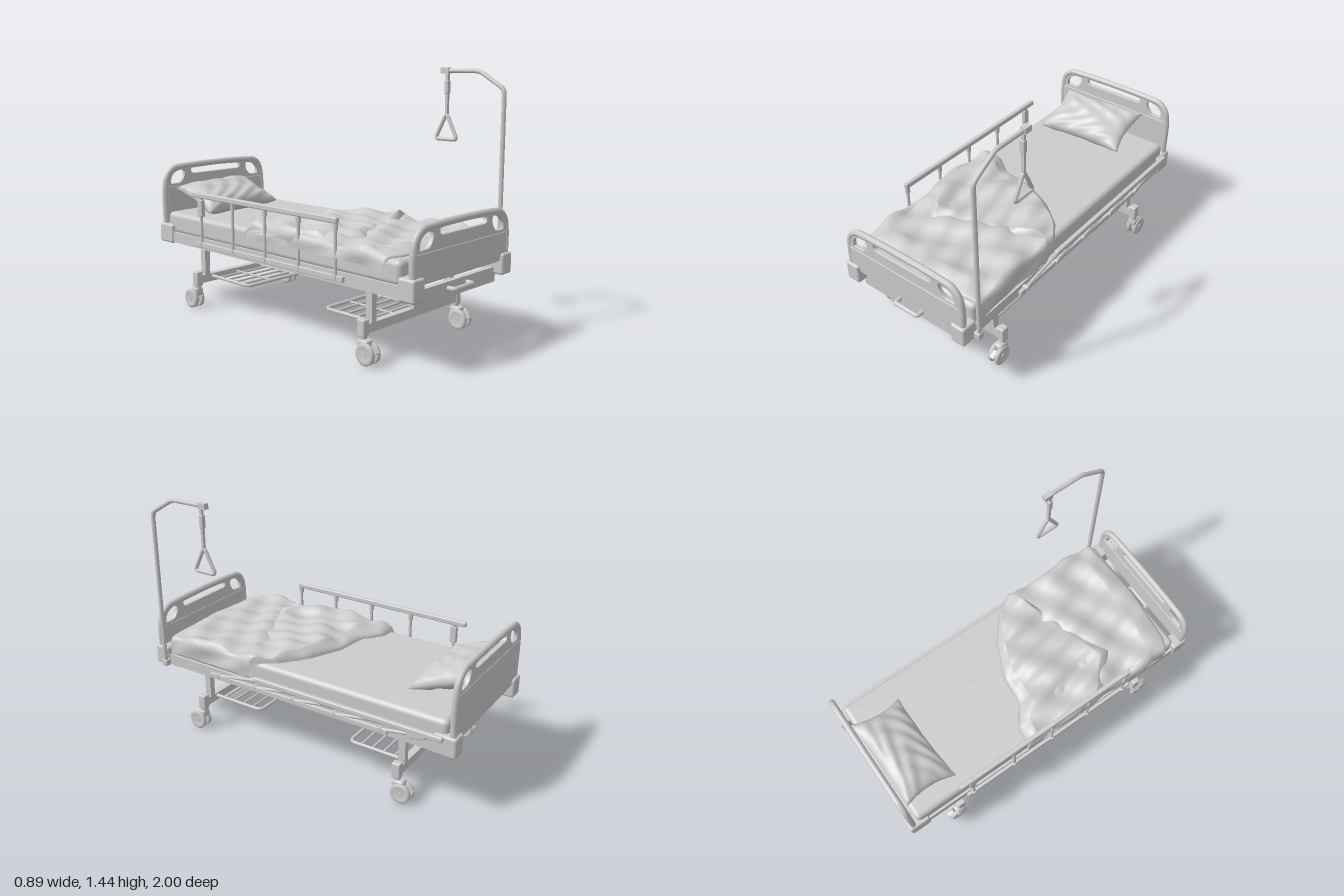
import * as THREE from 'three';
import { RoundedBoxGeometry } from 'three/addons/geometries/RoundedBoxGeometry.js';
import { ParametricGeometry } from 'three/addons/geometries/ParametricGeometry.js';

const grey = new THREE.MeshStandardMaterial({ color: 0xcccccc });
const cloth = new THREE.MeshStandardMaterial({ color: 0xcccccc, side: THREE.DoubleSide });
const V = (x, y, z) => new THREE.Vector3(x, y, z);

function add(parent, name, geo, x = 0, y = 0, z = 0, mat = grey) {
  const m = new THREE.Mesh(geo, mat);
  m.name = name;
  m.position.set(x, y, z);
  parent.add(m);
  return m;
}
const group = (parent, name) => {
  const g = new THREE.Group();
  g.name = name;
  parent.add(g);
  return g;
};
// box given by its limits
function box(parent, name, x0, x1, y0, y1, z0, z1, r = 0) {
  const s = [x1 - x0, y1 - y0, z1 - z0];
  const geo = r ? new RoundedBoxGeometry(...s, 3, r) : new THREE.BoxGeometry(...s);
  return add(parent, name, geo, (x0 + x1) / 2, (y0 + y1) / 2, (z0 + z1) / 2);
}
// straight round bar between two points
function bar(parent, name, a, b, r) {
  const m = add(parent, name, new THREE.CylinderGeometry(r, r, a.distanceTo(b), 12));
  m.position.copy(a).lerp(b, 0.5);
  m.quaternion.setFromUnitVectors(V(0, 1, 0), b.clone().sub(a).normalize());
  return m;
}
// bent tube with softened corners
function bentTube(parent, name, pts, r, corner, closed = false) {
  const path = new THREE.CurvePath(), n = pts.length;
  const toward = (a, b) => a.clone().add(b.clone().sub(a).setLength(corner));
  let prev = closed ? toward(pts[0], pts[1]) : pts[0];
  const end = closed ? n + 1 : n - 1;
  for (let i = 1; i < end; i++) {
    const p = pts[i % n], q = toward(p, pts[i - 1]), s = toward(p, pts[(i + 1) % n]);
    path.add(new THREE.LineCurve3(prev, q));
    path.add(new THREE.QuadraticBezierCurve3(q, p, s));
    prev = s;
  }
  if (!closed) path.add(new THREE.LineCurve3(prev, pts[n - 1]));
  return add(parent, name, new THREE.TubeGeometry(path, 100, r, 10, closed));
}
// piecewise linear lookup
function lookup(table, x) {
  if (x <= table[0][0]) return table[0][1];
  for (let i = 1; i < table.length; i++) {
    const [a, p] = table[i - 1], [b, q] = table[i];
    if (x <= b) return p + (q - p) * (x - a) / (b - a);
  }
  return table[table.length - 1][1];
}

// head or foot board: pierced panel, rounded rim tube, corner blocks
function endBoard(parent, name, z, top, depth) {
  const g = group(parent, name), t = top - 0.74;
  const s = new THREE.Shape();
  s.moveTo(-0.36, 0.45).lineTo(0.36, 0.45).lineTo(0.395, 0.49).lineTo(0.395, 0.6 + t);
  s.bezierCurveTo(0.385, 0.68 + t, 0.35, 0.71 + t, 0.28, 0.717 + t);
  s.quadraticCurveTo(0, 0.732 + t, -0.28, 0.717 + t);
  s.bezierCurveTo(-0.35, 0.71 + t, -0.385, 0.68 + t, -0.395, 0.6 + t);
  s.lineTo(-0.395, 0.49);
  const slot = new THREE.Path();
  slot.moveTo(-0.18, 0.663 + t).lineTo(0.18, 0.663 + t);
  slot.quadraticCurveTo(0.21, 0.67 + t, 0.2, 0.705 + t).quadraticCurveTo(0, 0.715 + t, -0.2, 0.705 + t);
  slot.quadraticCurveTo(-0.21, 0.67 + t, -0.18, 0.663 + t);
  s.holes.push(slot);
  for (const k of [-1, 1]) {
    const h = new THREE.Path();
    h.moveTo(k * 0.355, 0.61 + t).lineTo(k * 0.29, 0.612 + t);
    h.bezierCurveTo(k * 0.25, 0.63 + t, k * 0.23, 0.69 + t, k * 0.26, 0.702 + t);
    h.bezierCurveTo(k * 0.33, 0.705 + t, k * 0.37, 0.66 + t, k * 0.355, 0.61 + t);
    s.holes.push(h);
  }
  const geo = new THREE.ExtrudeGeometry(s, { depth: 0.014, bevelSize: 0.005, bevelThickness: 0.005, bevelSegments: 2, curveSegments: 16 });
  add(g, 'pierced panel', geo, 0, 0, z - 0.007);
  box(g, 'raised lower panel', -0.385, 0.385, 0.47, 0.6 + t, z - 0.015, z + 0.015, 0.006);
  const rim = new THREE.CatmullRomCurve3([
    [-0.392, 0.47], [-0.392, 0.6 + t], [-0.375, 0.67 + t], [-0.33, 0.71 + t], [-0.25, 0.719 + t], [0, 0.724 + t],
    [0.25, 0.719 + t], [0.33, 0.71 + t], [0.375, 0.67 + t], [0.392, 0.6 + t], [0.392, 0.47]
  ].map(p => V(p[0], p[1], z)), false, 'centripetal');
  add(g, 'rim tube', new THREE.TubeGeometry(rim, 90, 0.018, 10));
  const d = Math.sign(z);
  for (const k of [-1, 1]) {
    const zs = [d * (1 - depth), d].sort((a, b) => a - b), xs = [k * 0.33, k * 0.42].sort((a, b) => a - b);
    box(g, 'corner block', ...xs, 0.37, 0.487, ...zs, 0.014);
  }
}

// side guard: five posts swing on a lower bar, carrying the top bar
function sideRail(parent, name, x, angle) {
  const g = group(parent, name), L = 0.285;
  const dz = -Math.sin(angle) * L, y0 = 0.415, y1 = y0 + Math.cos(angle) * L;
  box(g, 'lower bar', x - 0.01, x + 0.01, 0.395, 0.425, -0.62, 0.56, 0.004);
  box(g, 'top bar', x - 0.014, x + 0.014, y1 - 0.012, y1 + 0.02, -0.65 + dz, 0.52 + dz, 0.008);
  [0.505, 0.24, -0.02, -0.29, -0.575].forEach((z) => {
    bar(g, 'post', V(x, y0, z), V(x, y1, z + dz), 0.009);
    const joint = bar(g, 'post joint', V(x, y1, z + dz), V(x, y1 - Math.cos(angle) * 0.045, z + dz * 0.84), 0.015);
    joint.scale.x = 0.9;
    const pivot = add(g, 'pivot', new THREE.CylinderGeometry(0.014, 0.014, 0.03, 14), x, y0, z);
    pivot.rotation.z = Math.PI / 2;
  });
  const latch = box(g, 'latch', x - 0.014, x + 0.014, -0.05, 0.05, -0.02, 0.02, 0.006);
  latch.position.set(x, y0 + (y1 - y0) * 0.75, -0.575 + dz * 0.75);
  latch.rotation.x = -angle;
}

// leg frame at one end with castors and wire shelf
function legFrame(parent, d) {
  const g = group(parent, d > 0 ? 'foot leg frame' : 'head leg frame'), z = d * 0.665;
  box(g, 'cross beam', -0.375, 0.375, 0.153, 0.2, z - 0.02, z + 0.02);
  box(g, 'upper beam', -0.345, 0.345, 0.36, 0.41, z - 0.02, z + 0.02);
  for (const k of [-1, 1]) {
    const x = k * 0.39;
    add(g, 'column', new THREE.BoxGeometry(0.036, 0.2, 0.04), k * 0.328, 0.29, z);
    add(g, 'castor socket', new RoundedBoxGeometry(0.044, 0.09, 0.05, 2, 0.008), x, 0.182, z);
    add(g, 'castor stem', new THREE.CylinderGeometry(0.02, 0.024, 0.03, 16), x, 0.128, z);
    add(g, 'castor hood', new RoundedBoxGeometry(0.055, 0.05, 0.07, 3, 0.014), x, 0.103, z + d * 0.015);
    add(g, 'castor fork', new THREE.BoxGeometry(0.018, 0.07, 0.035), x, 0.075, z + d * 0.02);
    const pedal = add(g, 'brake pedal', new RoundedBoxGeometry(0.03, 0.008, 0.05, 2, 0.003), x, 0.085, z + d * 0.08);
    pedal.rotation.x = d * 0.6;
    for (const e of [-1, 1]) {
      const prof = [[0, -0.013], [0.05, -0.013], [0.058, -0.007], [0.058, 0.007], [0.05, 0.013], [0.036, 0.013], [0.033, 0.009], [0, 0.009]];
      const wheel = add(g, 'wheel', new THREE.LatheGeometry(prof.map(p => new THREE.Vector2(...p)), 28), x + e * 0.022, 0.058, z + d * 0.035);
      wheel.rotation.z = -e * Math.PI / 2;
      const hub = add(g, 'hub', new THREE.CylinderGeometry(0.014, 0.014, 0.07, 14), x, 0.058, z + d * 0.035);
      hub.rotation.z = Math.PI / 2;
    }
  }
  const shelf = group(g, 'wire shelf'), a = d * 0.31, b = d * 0.66;
  bentTube(shelf, 'shelf loop', [V(-0.29, 0.183, b), V(-0.29, 0.183, a), V(0.29, 0.183, a), V(0.29, 0.183, b)], 0.01, 0.04);
  for (let i = 1; i < 5; i++) bar(shelf, 'shelf wire', V(-0.29, 0.18, a + (b - a) * i / 5), V(0.29, 0.18, a + (b - a) * i / 5), 0.007);
  for (const x of [-0.1, 0.1]) bar(shelf, 'shelf stay', V(x, 0.18, a), V(x, 0.18, b), 0.006);
}

// cloth sheet across the bed; hangs over the sides where s passes the mattress edge
function sheet(parent, name, s0, s1, zStart, zEnd, lift, wrinkle) {
  const geo = new ParametricGeometry((u, v, p) => {
    const s = s0 + (s1 - s0) * u, za = lookup(zStart, s), zb = lookup(zEnd, s);
    const z = za + (zb - za) * v, k = Math.sign(s), over = Math.max(0, Math.abs(s) - 0.385);
    const edge = Math.min(1, Math.min(v, 1 - v) * 8);
    const w = wrinkle(s, z) * edge, turn = Math.min(1, over / 0.05);
    p.set(k * (Math.min(Math.abs(s), 0.385) + 0.035 * Math.sin(turn * 1.57) + turn * w * 0.5),
      0.562 + lift * Math.sqrt(edge) - over * turn * 0.95 + w * (1 - turn * 0.7), z);
  }, 70, 70);
  add(parent, name, geo, 0, 0, 0, cloth);
}

export function createModel() {
  const bed = new THREE.Group();
  bed.name = 'adjustable care bed';
  endBoard(bed, 'footboard', 0.97, 0.74, 0.1);
  endBoard(bed, 'headboard', -0.97, 0.85, 0.13);

  // bed frame
  const frame = group(bed, 'frame');
  for (const k of [-1, 1]) add(frame, 'side beam', new THREE.BoxGeometry(0.03, 0.065, 1.84), k * 0.395, 0.41, 0);
  for (let i = 0; i < 11; i++) add(frame, 'slat', new THREE.BoxGeometry(0.77, 0.018, 0.055), 0, 0.418, -0.83 + i * 0.165);
  box(frame, 'foot panel', -0.345, 0.345, 0.328, 0.408, 0.915, 0.945);
  bentTube(frame, 'crank handle', [V(-0.075, 0.375, 0.94), V(-0.075, 0.375, 0.985), V(0.085, 0.375, 0.985), V(0.085, 0.375, 0.94)], 0.013, 0.015);
  legFrame(bed, 1);
  legFrame(bed, -1);
  sideRail(bed, 'raised side rail', -0.42, 0);
  sideRail(bed, 'lowered side rail', 0.425, 1.4);

  // bedding
  box(bed, 'mattress', -0.4, 0.4, 0.432, 0.56, -0.94, 0.9, 0.03);
  const soft = (s, z) => 0.012 * Math.sin(17 * z - 9 * s + 2 * Math.sin(7 * s)) + 0.008 * Math.sin(30 * z + 14 * s) + 0.006 * Math.sin(38 * s - 12 * z);
  const top = [[-0.42, -0.19], [-0.3, -0.18], [-0.18, -0.09], [0, -0.07], [0.2, 0.02], [0.34, 0.13], [0.42, 0.25], [0.5, 0.32]];
  sheet(bed, 'blanket', -0.47, 0.51, top, [[-0.47, 0.8], [-0.34, 0.86], [0, 0.895], [0.5, 0.87]], 0.028, soft);
  sheet(bed, 'folded blanket flap', -0.46, 0.44, top.map(([s, z]) => [s, z + 0.005]),
    [[-0.46, 0.2], [-0.38, 0.4], [-0.22, 0.55], [0, 0.46], [0.3, 0.34], [0.44, 0.28]], 0.055, (s, z) => soft(s * 1.3, z * 0.8) * 1.1);

  // pillow leaning on the headboard
  const pillow = group(bed, 'pillow');
  for (const side of [1, -1]) {
    add(pillow, side > 0 ? 'pillow top' : 'pillow underside', new ParametricGeometry((u, v, p) => {
      const a = u * 2 - 1, b = (v * 2 - 1) * side;
      const puff = Math.pow((1 - a * a * a * a) * (1 - b * b * b * b), 0.55);
      const crease = 0.008 * Math.sin(9 * a + 6 * b * b) * Math.sin(7 * b + 3 * a);
      p.set(a * (0.285 - 0.03 * (1 - b * b)), side * puff * (0.066 + crease), b * (0.17 - 0.018 * (1 - a * a)));
    }, 36, 30), 0, 0, 0, cloth);
  }
  pillow.position.set(-0.045, 0.645, -0.79);
  pillow.rotation.set(0.36, 0.04, 0);

  // lifting pole with hanging grip
  const pole = group(bed, 'lifting pole');
  bentTube(pole, 'pole', [V(0.44, 0.38, 0.905), V(0.44, 1.335, 0.905), V(0.44, 1.428, 0.75), V(0.44, 1.428, 0.51)], 0.0125, 0.03);
  add(pole, 'pole clamp', new RoundedBoxGeometry(0.04, 0.04, 0.04, 2, 0.006), 0.435, 0.4, 0.905);
  add(pole, 'strap collar', new THREE.BoxGeometry(0.032, 0.032, 0.05), 0.44, 1.428, 0.53);
  box(pole, 'strap', 0.428, 0.446, 1.18, 1.42, 0.537, 0.552);
  box(pole, 'strap buckle', 0.422, 0.45, 1.3, 1.375, 0.532, 0.557, 0.005);
  bentTube(pole, 'grip', [V(0.437, 1.195, 0.543), V(0.437, 1.05, 0.616), V(0.437, 1.05, 0.47)], 0.011, 0.025, true);
  return bed;
}
